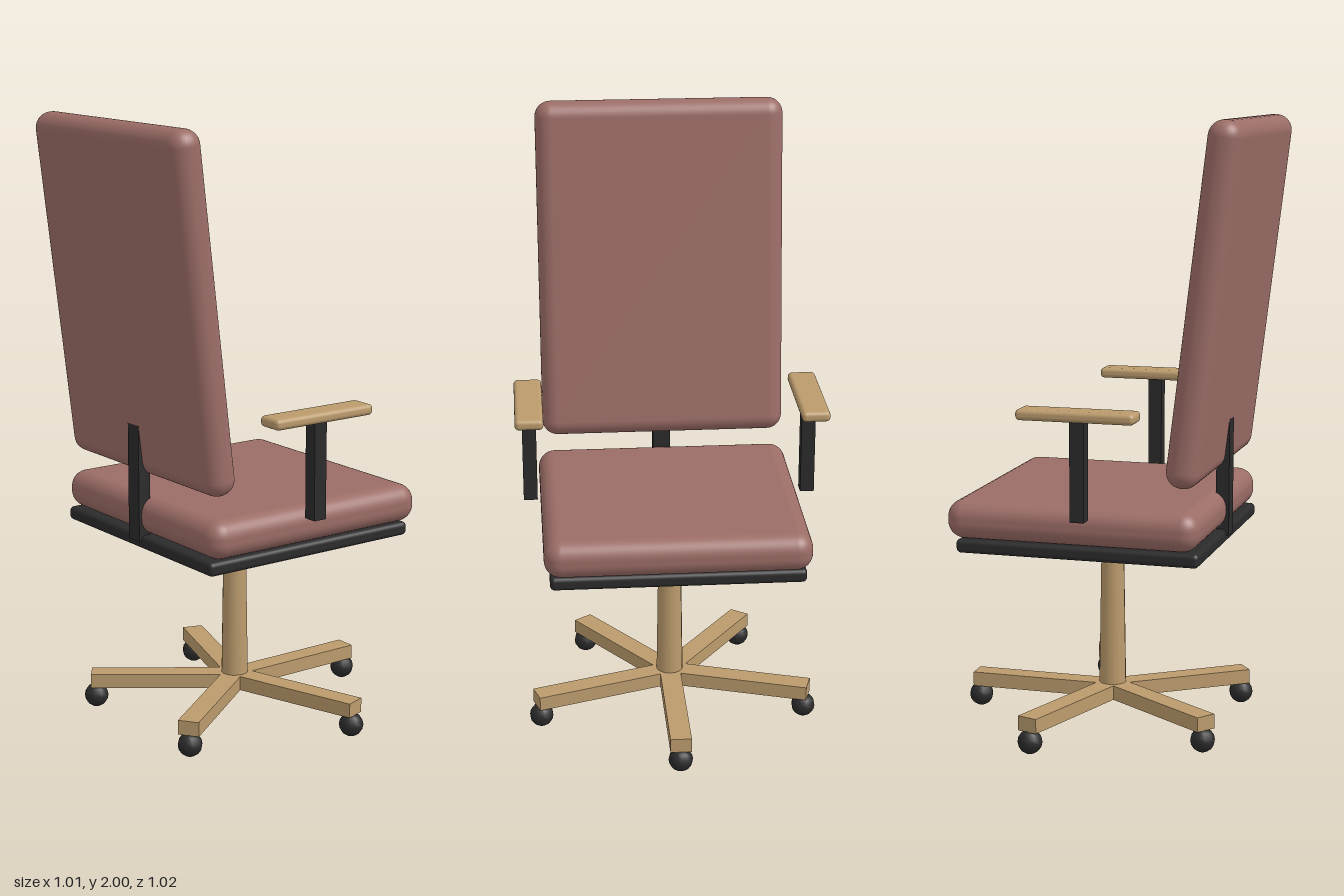
import * as THREE from 'three';
import { RoundedBoxGeometry } from 'three/addons/geometries/RoundedBoxGeometry.js';

const fabric = new THREE.MeshStandardMaterial({ color: 0x9c6d67 });
const wood = new THREE.MeshStandardMaterial({ color: 0xbb9b6d });
const black = new THREE.MeshStandardMaterial({ color: 0x2b2b2b });

function add(parent, name, geometry, material, x, y, z) {
  const mesh = new THREE.Mesh(geometry, material);
  mesh.name = name;
  mesh.position.set(x, y, z);
  parent.add(mesh);
  return mesh;
}

export function createModel() {
  const chair = new THREE.Group();
  chair.name = 'officeChair';

  // Five-legged base, one leg pointing to -z, with ball casters
  const base = new THREE.Group();
  base.name = 'base';
  chair.add(base);
  for (let i = 0; i < 5; i++) {
    const spoke = new THREE.Group();
    spoke.name = 'spoke';
    spoke.rotation.y = (i * Math.PI * 2) / 5;
    add(spoke, 'baseLeg', new THREE.BoxGeometry(0.07, 0.048, 0.484), wood, 0, 0.099, -0.242);
    add(spoke, 'caster', new THREE.SphereGeometry(0.04, 12, 8), black, 0, 0.04, -0.468);
    base.add(spoke);
  }

  // Slightly tapered column
  add(chair, 'column', new THREE.CylinderGeometry(0.037, 0.045, 0.53, 16), wood, 0, 0.375, 0);

  // Seat plate and cushion
  add(chair, 'seatPlate', new RoundedBoxGeometry(0.82, 0.045, 0.795, 3, 0.015), black, 0, 0.652, -0.005);
  add(chair, 'seat', new RoundedBoxGeometry(0.856, 0.125, 0.826, 5, 0.055), fabric, 0, 0.737, -0.022);

  // Reclined backrest and the upright that carries it
  const back = add(chair, 'backrest', new RoundedBoxGeometry(0.824, 1.138, 0.108, 5, 0.052), fabric, 0, 1.436, 0.394);
  back.rotation.x = 0.12;
  add(chair, 'backSupport', new THREE.BoxGeometry(0.06, 0.382, 0.043), black, 0, 0.846, 0.379);

  // Armrests on posts
  for (const side of [-1, 1]) {
    const arm = new THREE.Group();
    arm.name = side > 0 ? 'leftArm' : 'rightArm';
    add(arm, 'armPost', new THREE.BoxGeometry(0.046, 0.325, 0.046), black, side * 0.461, 0.932, 0.025);
    add(arm, 'armPad', new RoundedBoxGeometry(0.092, 0.035, 0.38, 3, 0.014), wood, side * 0.461, 1.102, 0.022);
    chair.add(arm);
  }
  return chair;
}
